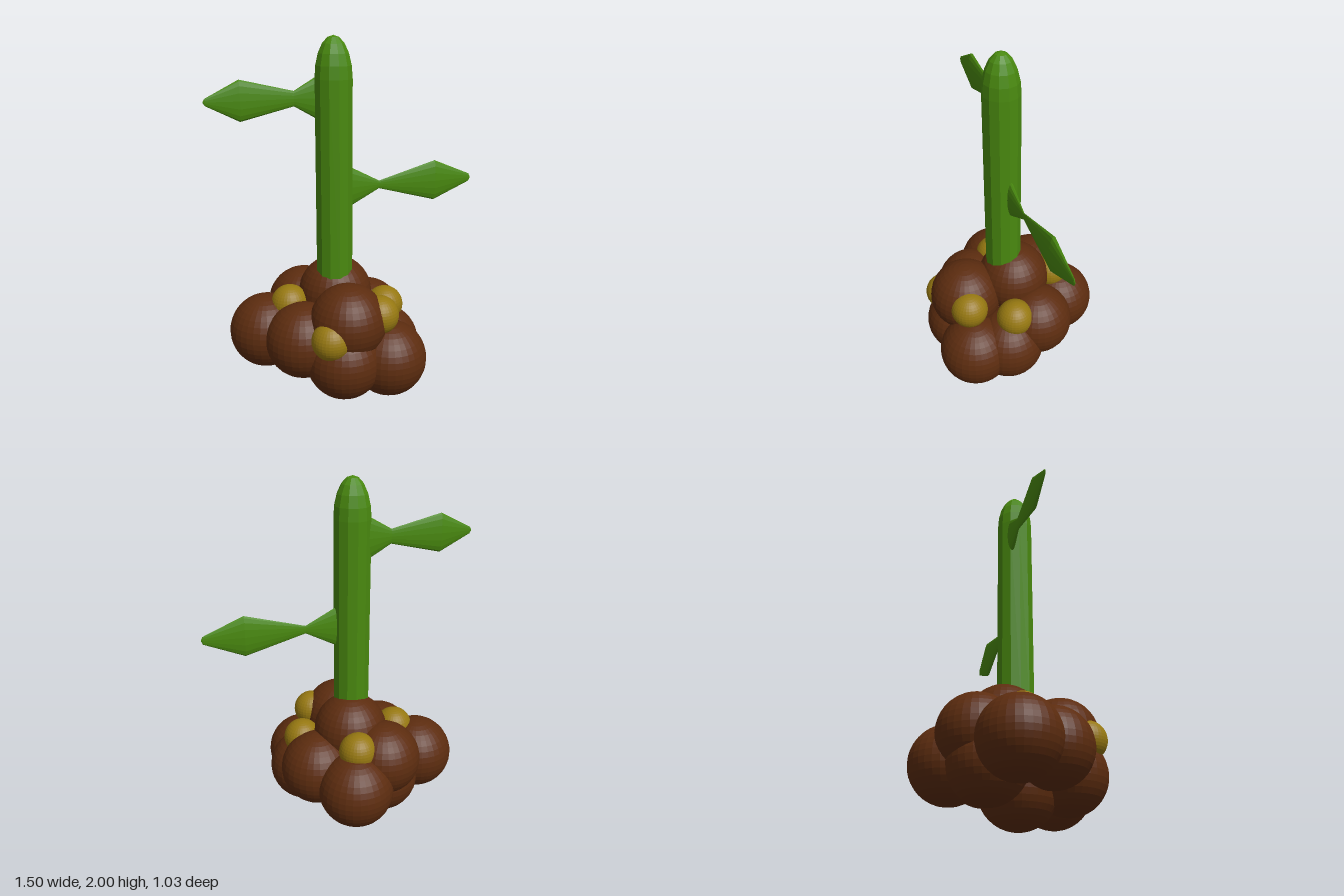
import * as THREE from 'three';

const brown = new THREE.MeshStandardMaterial({ color: 0x5c2c0f, flatShading: true });
const yellow = new THREE.MeshStandardMaterial({ color: 0x967811, flatShading: true });
const green = new THREE.MeshStandardMaterial({ color: 0x49890f, flatShading: true });

// Clump of equal spheres at the listed centres
function clump(name, partName, radius, centres, material) {
  const group = new THREE.Group();
  group.name = name;
  const geometry = new THREE.SphereGeometry(radius, 32, 20);
  for (const c of centres) {
    const mesh = new THREE.Mesh(geometry, material);
    mesh.name = partName;
    mesh.position.set(...c);
    group.add(mesh);
  }
  return group;
}

const profile = (pairs) => pairs.map(([r, y]) => new THREE.Vector2(r, y));

// Flattened spindle leaf growing sideways from the stem; side is +1 or -1
function leaf(name, side, pairs, y, z, tilt) {
  const geometry = new THREE.LatheGeometry(profile(pairs), 16);
  geometry.rotateZ(-side * Math.PI / 2);
  geometry.scale(1, 1, 0.21);
  const mesh = new THREE.Mesh(geometry, green);
  mesh.name = name;
  mesh.position.set(-0.08, y, z);
  mesh.rotation.y = tilt;
  return mesh;
}

export function createModel() {
  const model = new THREE.Group();
  model.name = 'sprout';

  // Soil mound
  model.add(clump('soilMound', 'soilLump', 0.21, [
    [-0.06, 0.56, -0.03],
    [-0.005, 0.33, -0.31],
    [-0.20, 0.445, -0.21],
    [-0.46, 0.36, -0.07],
    [0.155, 0.37, -0.085],
    [0.18, 0.275, 0.11],
    [0.145, 0.27, 0.305],
    [-0.08, 0.505, 0.27],
    [-0.11, 0.29, 0.295],
    [-0.30, 0.375, 0.15],
    [-0.065, 0.213, 0.04],
    [-0.21, 0.295, -0.155],
  ], brown));

  // Small nuggets set into the soil
  model.add(clump('nuggets', 'nugget', 0.106, [
    [-0.03, 0.545, -0.265],
    [-0.335, 0.53, -0.015],
    [0.205, 0.488, 0.078],
    [0.085, 0.54, 0.312],
    [-0.207, 0.457, 0.37],
  ], yellow));

  // Stem with a rounded tip
  const stemProfile = [[0, 0.6], [0.102, 0.6]];
  for (let i = 0; i <= 5; i++) {
    const a = (i / 5) * Math.PI / 2;
    stemProfile.push([0.102 * Math.cos(a), 1.78 + 0.22 * Math.sin(a)]);
  }
  const stem = new THREE.Mesh(new THREE.LatheGeometry(profile(stemProfile), 12), green);
  stem.name = 'stem';
  stem.position.set(-0.08, 0, 0.025);
  model.add(stem);

  // Leaves: radius and distance from the stem axis
  model.add(leaf('leftLeaf', 1,
    [[0, 0.06], [0.13, 0.06], [0.022, 0.265], [0.115, 0.6], [0.022, 0.82], [0, 0.83]],
    1.19, 0.016, -0.008));
  model.add(leaf('rightLeaf', -1,
    [[0, 0.05], [0.13, 0.05], [0.04, 0.205], [0.107, 0.49], [0.018, 0.665], [0, 0.675]],
    1.68, -0.016, 0.008));

  return model;
}
